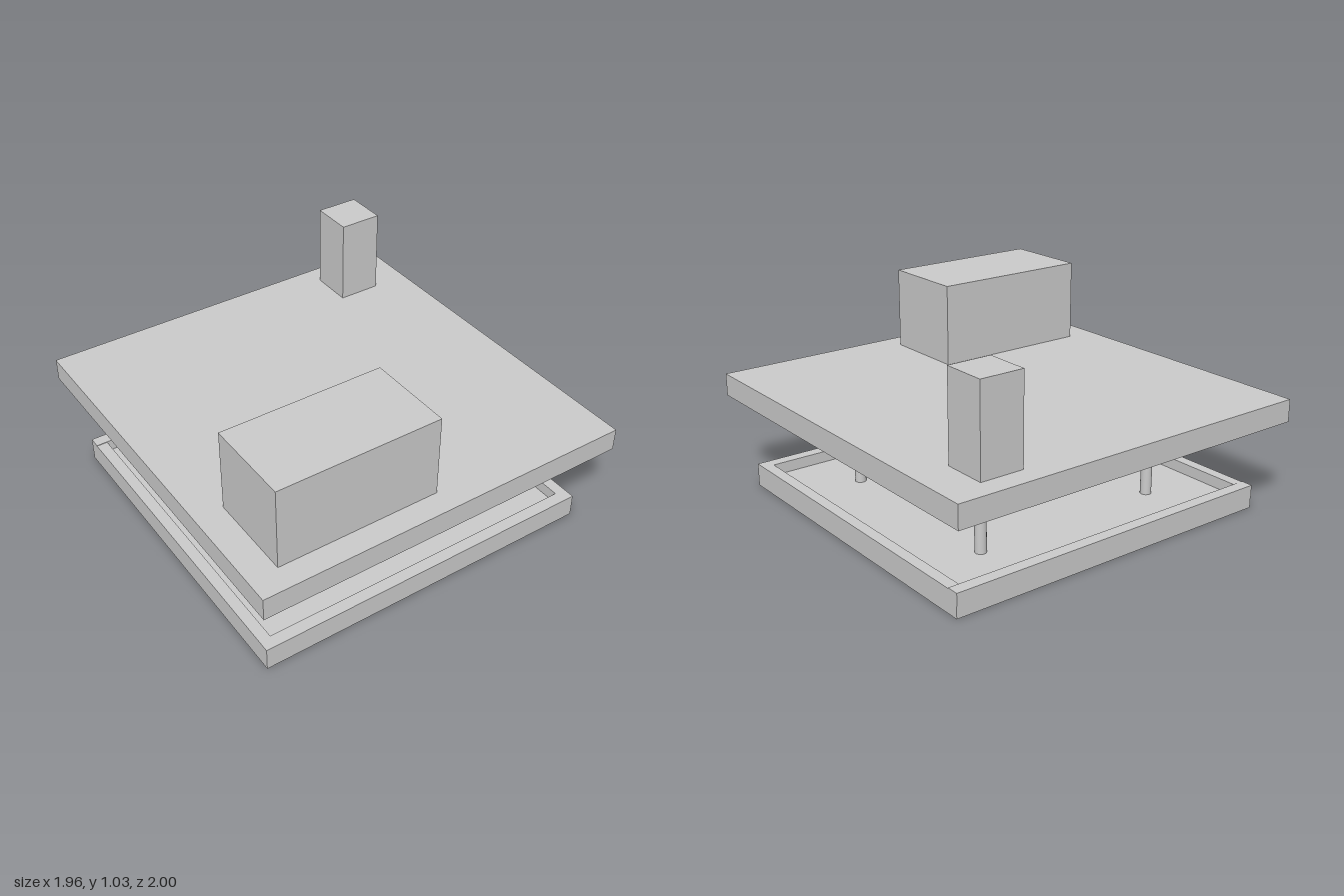
import * as THREE from 'three';

const grey = new THREE.MeshStandardMaterial({ color: 0xcccccc });

// Box given by its min and max on each axis
function addBox(parent, name, [x0, x1], [y0, y1], [z0, z1]) {
  const mesh = new THREE.Mesh(new THREE.BoxGeometry(x1 - x0, y1 - y0, z1 - z0), grey);
  mesh.position.set((x0 + x1) / 2, (y0 + y1) / 2, (z0 + z1) / 2);
  mesh.name = name;
  parent.add(mesh);
}

export function createModel() {
  const model = new THREE.Group();
  model.name = 'platform';

  // Shallow base tray: floor plate with a raised rim
  const tray = new THREE.Group();
  tray.name = 'baseTray';
  model.add(tray);
  const rimY = [0.06, 0.118];
  addBox(tray, 'trayFloor', [-0.9, 0.895], [0, 0.06], [-0.87, 0.873]);
  addBox(tray, 'frontRim', [-0.9, 0.895], rimY, [0.81, 0.873]);
  addBox(tray, 'backRim', [-0.9, 0.895], [0.06, 0.121], [-0.872, -0.81]);
  addBox(tray, 'leftRim', [0.837, 0.895], rimY, [-0.81, 0.81]);
  addBox(tray, 'rightRim', [-0.9, -0.842], rimY, [-0.81, 0.81]);

  // Four round posts from the tray floor to the deck
  const postGeometry = new THREE.CylinderGeometry(0.028, 0.028, 0.425, 32);
  for (const [x, z] of [[-0.522, 0.483], [0.519, 0.483], [-0.522, -0.517], [0.519, -0.534]]) {
    const post = new THREE.Mesh(postGeometry, grey);
    post.position.set(x, 0.2725, z);
    post.name = 'post';
    model.add(post);
  }

  // Upper deck and the two blocks standing on it
  addBox(model, 'deck', [-0.98, 0.975], [0.475, 0.59], [-1, 1]);
  addBox(model, 'wideBlock', [-0.832, 0], [0.59, 1.006], [0.43, 0.877]);
  addBox(model, 'tallBlock', [0.56, 0.782], [0.59, 1.028], [-0.888, -0.667]);

  return model;
}
